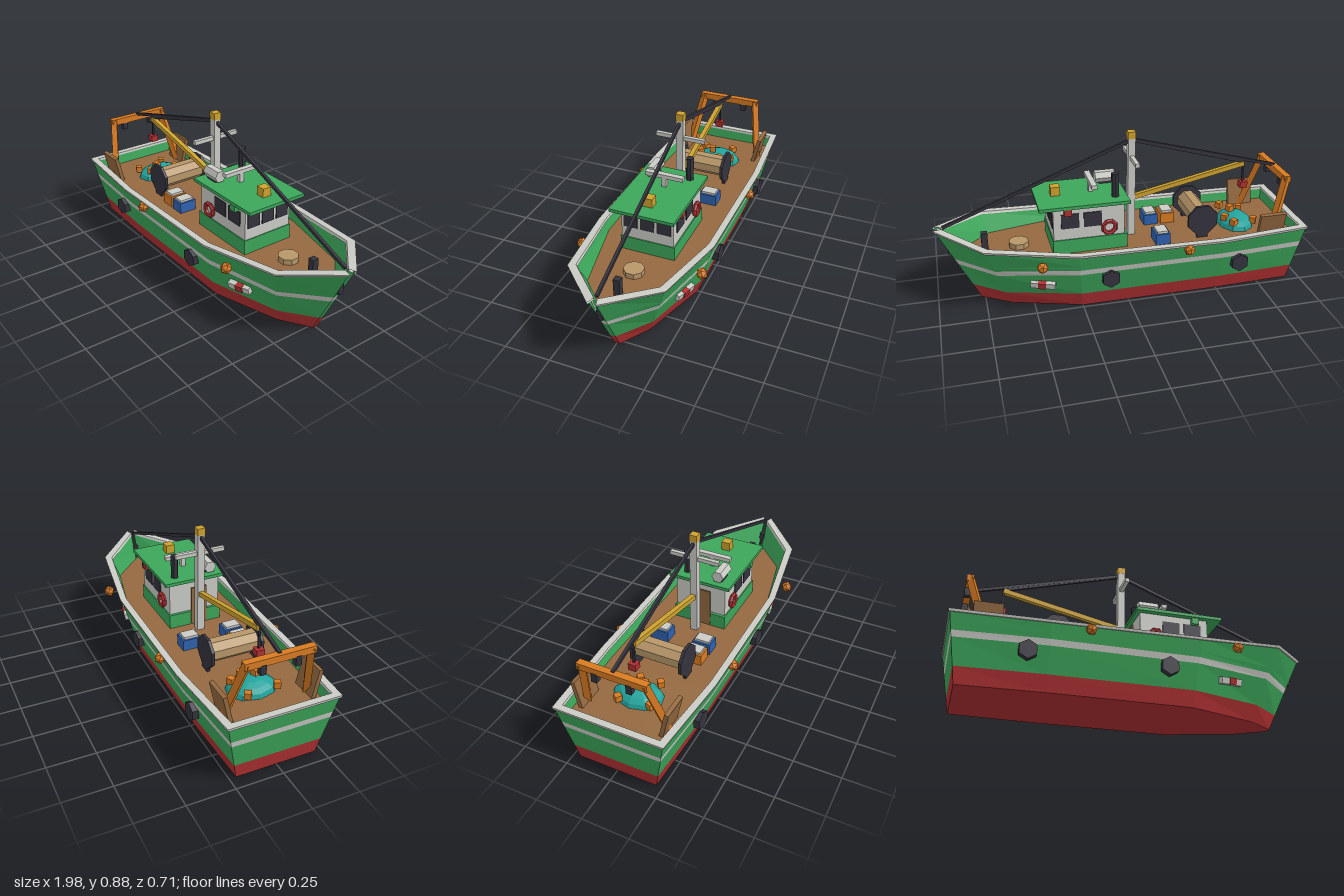
import * as THREE from 'three';

const paint = (name, color) => new THREE.MeshStandardMaterial({ name, color, side: THREE.DoubleSide });

export function createModel() {
  const boat = new THREE.Group();
  boat.name = 'fishingBoat';
  const green = paint('hull green', 0x3ca65a), red = paint('red', 0xb03032), grey = paint('light grey', 0xcbcbc6),
    dark = paint('dark grey', 0x34333d), brown = paint('deck brown', 0x946940), tan = paint('tan', 0xb8976a),
    orange = paint('orange', 0xd97b22), yellow = paint('yellow', 0xcda22e), blue = paint('blue', 0x2f62b0),
    teal = paint('net teal', 0x22a39c);

  // ---- helpers ----
  const flat = (g) => {
    const f = g.index ? g.toNonIndexed() : g;
    f.computeVertexNormals();
    return f;
  };
  const add = (name, geo, mat, x = 0, y = 0, z = 0, rx = 0, ry = 0, rz = 0) => {
    const m = new THREE.Mesh(flat(geo), mat);
    m.name = name;
    m.position.set(x, y, z);
    m.rotation.set(rx, ry, rz);
    boat.add(m);
    return m;
  };
  const box = (name, mat, w, h, d, x, y, z, rx, ry, rz) =>
    add(name, new THREE.BoxGeometry(w, h, d), mat, x, y, z, rx, ry, rz);
  const cyl = (r, h, n, start = 0) => new THREE.CylinderGeometry(r, r, h, n, 1, false, start);
  const bar = (name, mat, a, b, w, h = w) => {
    const p = new THREE.Vector3(...a), q = new THREE.Vector3(...b);
    const m = add(name, new THREE.BoxGeometry(w, h, p.distanceTo(q)), mat);
    m.position.copy(p).add(q).multiplyScalar(0.5);
    m.lookAt(q);
    return m;
  };
  // skin stretched between rows of points
  const skin = (name, mat, rows) => {
    const pos = [];
    for (let i = 0; i < rows.length - 1; i++)
      for (let j = 0; j < rows[i].length - 1; j++) {
        const a = rows[i][j], b = rows[i][j + 1], c = rows[i + 1][j + 1], d = rows[i + 1][j];
        pos.push(...a, ...b, ...c, ...a, ...c, ...d);
      }
    const g = new THREE.BufferGeometry();
    g.setAttribute('position', new THREE.Float32BufferAttribute(pos, 3));
    return add(name, g, mat);
  };

  // ---- hull: stations from stern to bow ----
  const stations = [
    { bx: -0.93, bz: 0.215, tx: -0.985, ty: 0.347, tz: 0.29, k: 1 },
    { bx: -0.5, bz: 0.23, tx: -0.5, ty: 0.338, tz: 0.322, k: 0 },
    { bx: 0.25, bz: 0.23, tx: 0.28, ty: 0.348, tz: 0.322, k: -0.1 },
    { bx: 0.615, bz: 0.115, tx: 0.745, ty: 0.393, tz: 0.25, k: -0.6 },
    { bx: 0.77, bz: 0.016, tx: 0.982, ty: 0.427, tz: 0.016, k: -1.2 },
  ];
  // point on a station at height y, moved inwards by d
  const at = (s, y, d, side) => {
    const t = y / s.ty;
    const z = THREE.MathUtils.lerp(s.bz, s.tz, t) - d;
    return [THREE.MathUtils.lerp(s.bx, s.tx, t) + d * s.k, y, side * Math.max(z, 0.009)];
  };
  const ring = (y, { d = 0, lift = 0, closed = false } = {}) => {
    const h = (s) => (y === 'top' ? s.ty : y) + lift;
    const r = [...stations.map((s) => at(s, h(s), d, 1)).reverse(), ...stations.map((s) => at(s, h(s), d, -1))];
    if (closed) r.push(r[0]);
    return r;
  };
  const deckY = 0.28;
  const shut = { closed: true };
  skin('keelBottom', red, stations.map((s) => [at(s, 0, 0, -1), at(s, 0, 0, 1)]));
  skin('lowerHull', red, [ring(0, shut), ring(0.085, shut)]);
  skin('upperHull', green, [ring(0.085, shut), ring(0.22, shut)]);
  skin('hullStripe', grey, [ring(0.22, shut), ring(0.252, shut)]);
  skin('hullShoulder', green, [ring(0.252, shut), ring(deckY, shut)]);
  skin('bulwarkOutside', green, [ring(deckY), ring('top')]);
  skin('bulwarkInside', green, [ring('top', { d: 0.025 }), ring(deckY, { d: 0.025 })]);
  skin('deck', brown, stations.map((s) => [at(s, deckY, 0.02, 1), at(s, deckY, 0.02, -1)]));
  const low = { d: -0.006, lift: -0.01 };
  skin('railCap', grey, [ring('top', low), ring('top', { d: -0.006, lift: 0.004 }),
    ring('top', { d: 0.03, lift: 0.004 }), ring('top', { d: 0.03, lift: -0.01 }), ring('top', low)]);

  // ---- fittings on both sides of the hull ----
  for (const s of [1, -1]) {
    for (const x of [-0.605, 0.11]) add('fender', cyl(0.05, 0.034, 6), dark, x, 0.183, s * 0.291, Math.PI / 2);
    for (const x of [-0.305, 0.47]) add('buoy', new THREE.IcosahedronGeometry(0.031), orange, x, 0.315, s * 0.33);
    box('hullPlate', grey, 0.13, 0.035, 0.03, 0.46, 0.162, s * 0.235, s * 0.25, s * 0.28);
    box('hullPlateMark', red, 0.042, 0.036, 0.03, 0.465, 0.162, s * 0.239, s * 0.25, s * 0.28);
  }

  // ---- wheelhouse ----
  box('houseBase', green, 0.4, 0.08, 0.3, 0.185, 0.32, 0);
  box('houseWalls', grey, 0.38, 0.19, 0.288, 0.19, 0.45, 0);
  box('houseRoof', green, 0.48, 0.018, 0.35, 0.215, 0.552, 0);
  box('houseDoor', brown, 0.008, 0.22, 0.09, -0.017, 0.395, 0.02);
  for (const z of [-0.092, 0, 0.092]) box('frontWindow', dark, 0.008, 0.082, 0.076, 0.381, 0.465, z);
  for (const s of [1, -1]) {
    for (const x of [0.172, 0.292]) box('sideWindow', dark, 0.095, 0.082, 0.008, x, 0.465, s * 0.145);
    add('lifebuoy', new THREE.TorusGeometry(0.035, 0.012, 5, 8), red, 0.085, 0.412, s * 0.155, 0, 0, Math.PI / 8);
    box('sideLight', s > 0 ? green : red, 0.04, 0.036, 0.025, 0.305, 0.523, s * 0.157);
  }

  // ---- roof gear ----
  add('exhaustPipe', cyl(0.021, 0.13, 6), dark, 0.04, 0.625, -0.097);
  add('raftCanister', cyl(0.034, 0.11, 6), grey, 0.055, 0.597, 0.097, 0, 0, Math.PI / 2);
  box('raftCradle', dark, 0.07, 0.014, 0.04, 0.055, 0.566, 0.097);
  box('radarPost', grey, 0.025, 0.06, 0.025, 0.152, 0.588, 0);
  box('radarBar', grey, 0.03, 0.022, 0.21, 0.152, 0.623, 0);
  box('roofLamp', yellow, 0.05, 0.05, 0.05, 0.345, 0.585, 0);

  // ---- mast, boom and rigging ----
  box('mast', grey, 0.04, 0.56, 0.04, -0.07, 0.56, 0);
  box('mastCap', yellow, 0.042, 0.038, 0.042, -0.07, 0.859, 0);
  box('crossTree', grey, 0.022, 0.022, 0.276, -0.07, 0.735, 0);
  bar('boom', yellow, [-0.075, 0.498, 0], [-0.715, 0.636, 0], 0.026);
  bar('foreStay', dark, [-0.07, 0.83, 0], [0.94, 0.434, 0], 0.016);
  bar('aftStay', dark, [-0.07, 0.832, 0], [-0.9, 0.608, 0], 0.016);
  bar('boomLift', dark, [-0.07, 0.828, 0], [-0.71, 0.645, 0], 0.014);
  bar('hookLine', dark, [-0.715, 0.636, 0], [-0.715, 0.52, 0], 0.01);
  box('hookBlock', red, 0.042, 0.036, 0.042, -0.718, 0.51, 0);

  // ---- stern gantry and trawl doors ----
  box('gantryBeam', orange, 0.036, 0.036, 0.365, -0.9, 0.592, 0);
  for (const s of [1, -1]) {
    bar('gantryLeg', orange, [-0.805, deckY, s * 0.222], [-0.9, 0.6, s * 0.163], 0.034);
    box('gantryPulley', dark, 0.03, 0.05, 0.03, -0.905, 0.555, s * 0.09);
    box('trawlDoor', brown, 0.145, 0.155, 0.022, -0.802, 0.352, s * 0.235, s * 0.22);
  }

  // ---- net winch ----
  const across = Math.PI / 2;
  add('winchDrum', cyl(0.06, 0.26, 8, Math.PI / 8), tan, -0.44, 0.382, 0, across);
  for (const s of [1, -1]) {
    add('winchFlange', cyl(0.089, 0.016, 8, Math.PI / 8), dark, -0.44, 0.382, s * 0.137, across);
    box('winchFoot', dark, 0.06, 0.05, 0.016, -0.44, 0.3, s * 0.137);
  }

  // ---- net pile with floats ----
  const pile = new THREE.SphereGeometry(1, 9, 4, 0, Math.PI * 2, 0, Math.PI / 2);
  pile.scale(0.1, 0.062, 0.135);
  add('netPile', pile, teal, -0.678, deckY, -0.01);
  for (const [x, z, y] of [[-0.64, -0.1, 0.325], [-0.765, -0.075, 0.315], [-0.745, 0.095, 0.315],
    [-0.62, 0.085, 0.35], [-0.66, 0.02, 0.355], [-0.61, -0.035, 0.33]])
    box('netFloat', orange, 0.034, 0.034, 0.034, x, y, z, 0, x * 9, 0);

  // ---- fish crates ----
  for (const [mat, x, z] of [[orange, -0.305, 0.118], [blue, -0.208, 0.12], [blue, -0.208, -0.125]]) {
    box('crate', mat, 0.08, 0.06, 0.1, x, deckY + 0.03, z);
    box('crateLid', grey, 0.06, 0.014, 0.08, x, deckY + 0.066, z);
  }

  // ---- foredeck ----
  add('ropeCoil', cyl(0.055, 0.03, 8, Math.PI / 8), tan, 0.55, deckY + 0.015, 0);
  box('bollard', dark, 0.034, 0.1, 0.034, 0.73, deckY + 0.05, 0);
  box('bowPost', dark, 0.028, 0.08, 0.028, 0.91, deckY + 0.04, 0);
  box('bowPostPin', dark, 0.01, 0.008, 0.05, 0.91, 0.315, 0);

  return boat;
}
